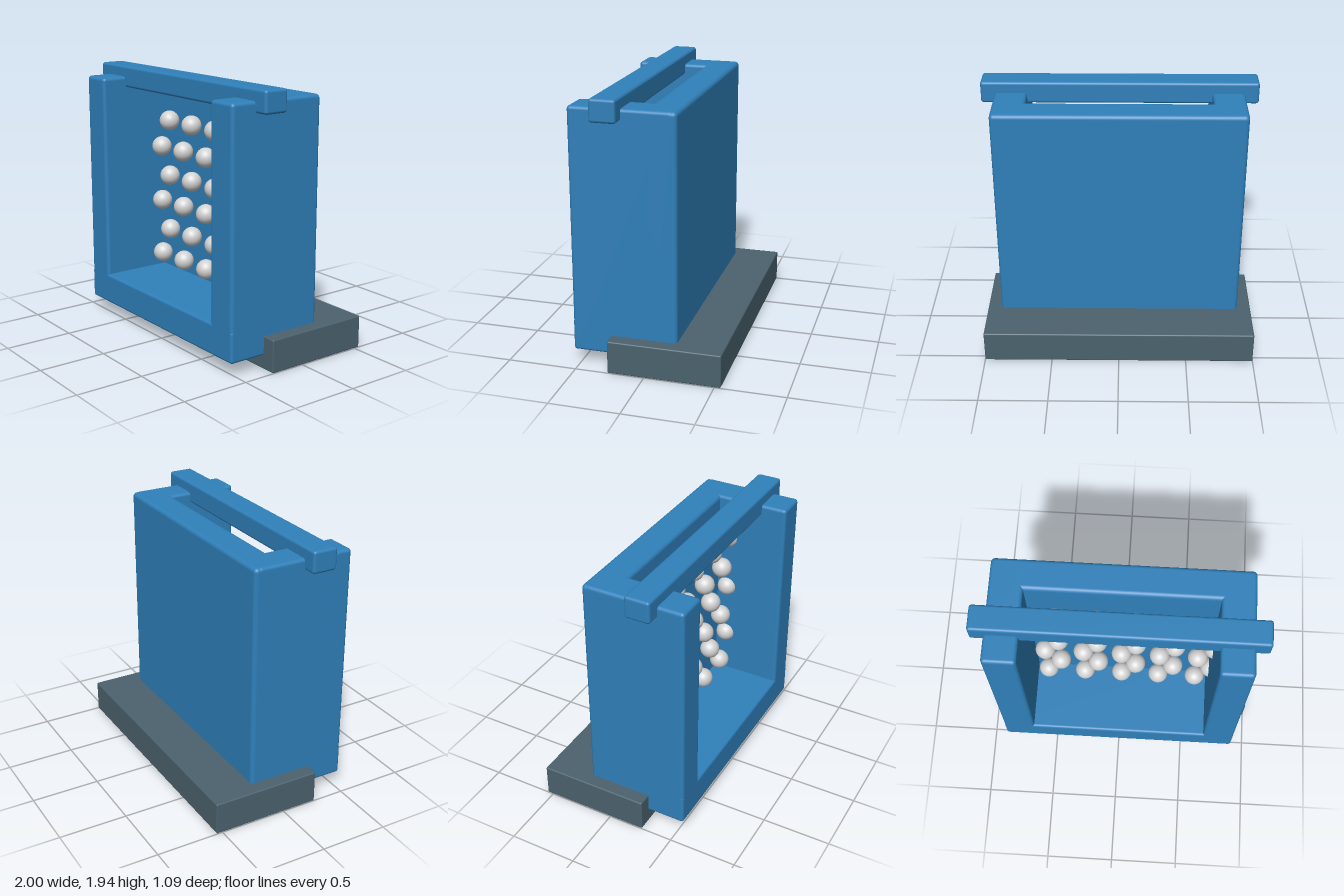
import * as THREE from 'three';
import { RoundedBoxGeometry } from 'three/addons/geometries/RoundedBoxGeometry.js';

const material = (name, color) => {
  const m = new THREE.MeshStandardMaterial({ color });
  m.name = name;
  return m;
};

export function createModel() {
  const blue = material('blue', 0x2f80ba);
  const slate = material('slate', 0x4b626e);
  const pearl = material('pearl', 0xd2d2d2);
  const model = new THREE.Group();
  model.name = 'ballPanelFrame';

  // Rounded block given by its extents on each axis
  const block = (name, mat, [x0, x1], [y0, y1], [z0, z1], radius) => {
    const geometry = new RoundedBoxGeometry(x1 - x0, y1 - y0, z1 - z0, 4, radius);
    const mesh = new THREE.Mesh(geometry, mat);
    mesh.name = name;
    mesh.position.set((x0 + x1) / 2, (y0 + y1) / 2, (z0 + z1) / 2);
    model.add(mesh);
  };

  // Foot behind the frame
  block('base', slate, [-1, 1], [0, 0.24], [-0.545, 0.265], 0.01);

  // Open-fronted housing: back, floor and two walls
  block('backPanel', blue, [-0.9, 0.9], [0.1, 1.86], [-0.21, 0.015], 0.03);
  block('floor', blue, [-0.9, 0.9], [0.1, 0.33], [-0.18, 0.545], 0.02);
  block('rightWall', blue, [-0.9, -0.665], [0.1, 1.86], [-0.18, 0.545], 0.025);
  block('leftWall', blue, [0.665, 0.9], [0.1, 1.86], [-0.18, 0.545], 0.025);

  // Crossbar resting in the top of the walls
  block('topBar', blue, [-1, 1], [1.78, 1.94], [0.17, 0.355], 0.02);

  // Staggered rows of balls on the back panel
  const balls = new THREE.Group();
  balls.name = 'balls';
  const ballGeometry = new THREE.SphereGeometry(0.075, 32, 20);
  for (let row = 0; row < 6; row++) {
    for (let col = 0; col < 5; col++) {
      const ball = new THREE.Mesh(ballGeometry, pearl);
      ball.name = 'ball';
      ball.position.set(-0.573 + col * 0.286 + (row % 2) * 0.107, 0.456 + row * 0.214, 0.09);
      balls.add(ball);
    }
  }
  model.add(balls);
  return model;
}
